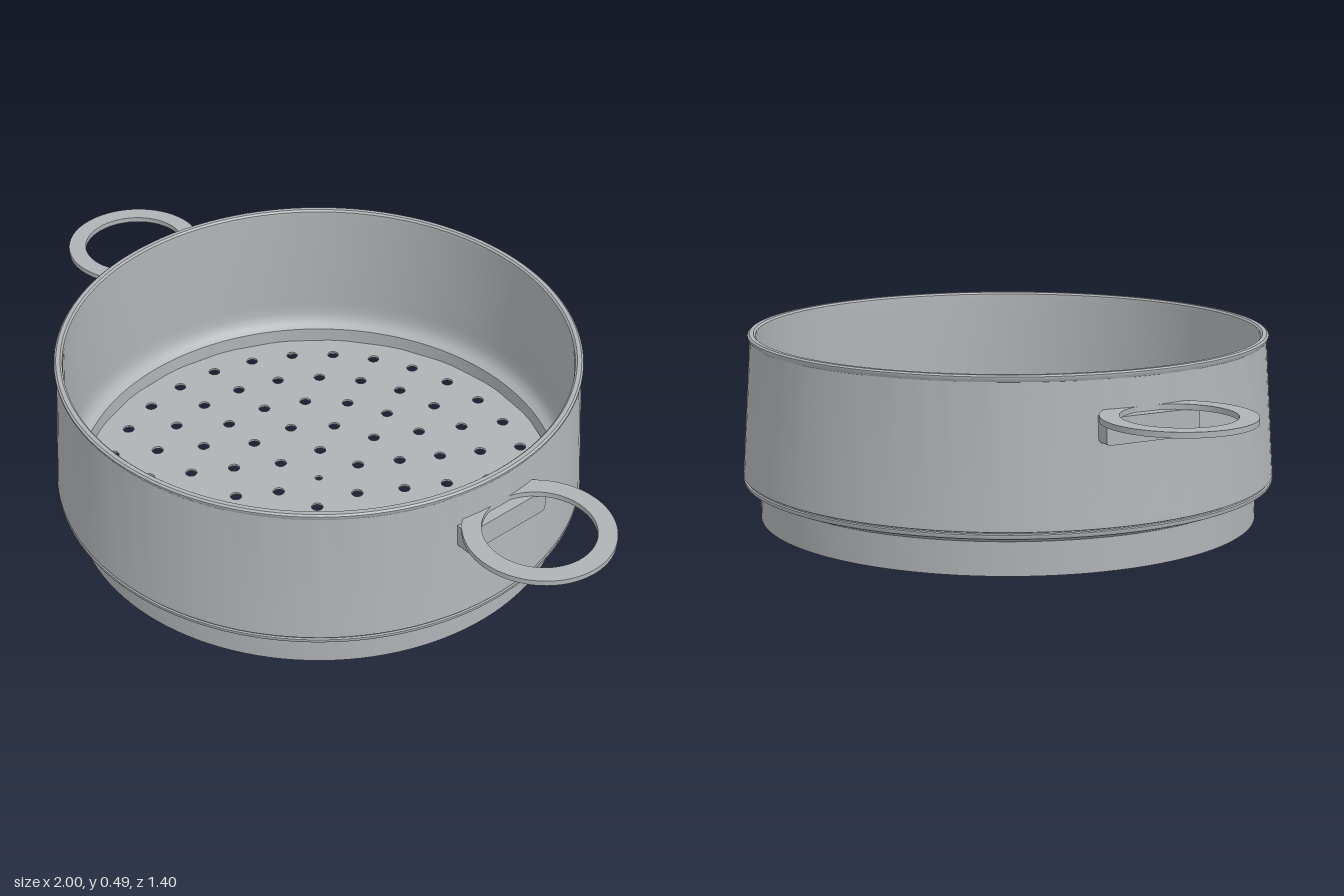
import * as THREE from 'three';
import { toCreasedNormals } from 'three/addons/utils/BufferGeometryUtils.js';

const steel = new THREE.MeshStandardMaterial({ color: 0xb0b3b6 });
steel.name = 'brushed steel';

function part(name, geometry) {
  const mesh = new THREE.Mesh(toCreasedNormals(geometry, 0.6), steel);
  mesh.name = name;
  return mesh;
}

// Hollow wall: foot, stepped collar with a fine seam, tapered side, rolled lip
function makeWall() {
  const profile = [
    [0.645, 0], [0.656, 0], [0.656, 0.085], [0.698, 0.102], [0.7, 0.106],
    [0.7, 0.112], [0.696, 0.114], [0.696, 0.117], [0.7, 0.119], [0.699, 0.13],
    [0.676, 0.472], [0.681, 0.48], [0.681, 0.485], [0.676, 0.489], [0.665, 0.489],
    [0.66, 0.484], [0.659, 0.472], [0.676, 0.16], [0.675, 0.13], [0.67, 0.112],
    [0.66, 0.099], [0.645, 0.09], [0.645, 0],
  ].map(([r, y]) => new THREE.Vector2(r, y));
  return part('wall', new THREE.LatheGeometry(profile, 128));
}

// Perforated floor: five rings of holes, six more in each ring
function makeFloor() {
  const shape = new THREE.Shape().absarc(0, 0, 0.648, 0, Math.PI * 2);
  const addHole = (x, y, r) =>
    shape.holes.push(new THREE.Path().absarc(x, y, r, 0, Math.PI * 2, true));
  addHole(0, 0, 0.01);
  [0.122, 0.235, 0.347, 0.46, 0.573].forEach((radius, ring) => {
    const count = 6 * (ring + 1);
    const start = Math.asin(0.038 / radius);
    for (let i = 0; i < count; i++) {
      const a = start + (i / count) * Math.PI * 2;
      addHole(radius * Math.cos(a), radius * Math.sin(a), 0.0155);
    }
  });
  const geometry = new THREE.ExtrudeGeometry(shape, { depth: 0.006, bevelEnabled: false, curveSegments: 12 });
  geometry.rotateX(-Math.PI / 2).translate(0, 0.044, 0);
  return part('perforatedFloor', geometry);
}

// Flat ring handle, cut straight where it enters the wall, on a rounded bracket
function makeHandle(name) {
  const handle = new THREE.Group();
  handle.name = name;

  const cx = 0.815, outer = 0.185;
  const cut = Math.acos((0.664 - cx) / outer);
  const ring = new THREE.Shape().absarc(cx, 0, outer, -cut, cut);
  ring.closePath();
  ring.holes.push(new THREE.Path().absarc(cx, 0, 0.138, 0, Math.PI * 2, true));
  const ringGeometry = new THREE.ExtrudeGeometry(ring, { depth: 0.014, bevelEnabled: false, curveSegments: 48 });
  ringGeometry.rotateX(-Math.PI / 2).translate(0, 0.387, 0);
  handle.add(part('handleRing', ringGeometry));

  const w = 0.13, bottom = 0.322, top = 0.388, r = 0.012;
  const plate = new THREE.Shape();
  plate.moveTo(-w, top);
  plate.lineTo(-w, bottom + r);
  plate.quadraticCurveTo(-w, bottom, -w + r, bottom);
  plate.lineTo(w - r, bottom);
  plate.quadraticCurveTo(w, bottom, w, bottom + r);
  plate.lineTo(w, top);
  plate.closePath();
  const plateGeometry = new THREE.ExtrudeGeometry(plate, { depth: 0.043, bevelEnabled: false, curveSegments: 6 });
  plateGeometry.rotateY(Math.PI / 2).translate(0.666, 0, 0);
  handle.add(part('handleBracket', plateGeometry));
  return handle;
}

export function createModel() {
  const model = new THREE.Group();
  model.name = 'steamerBasket';
  const left = makeHandle('leftHandle');
  const right = makeHandle('rightHandle');
  right.rotation.y = Math.PI;
  model.add(makeWall(), makeFloor(), left, right);
  return model;
}
